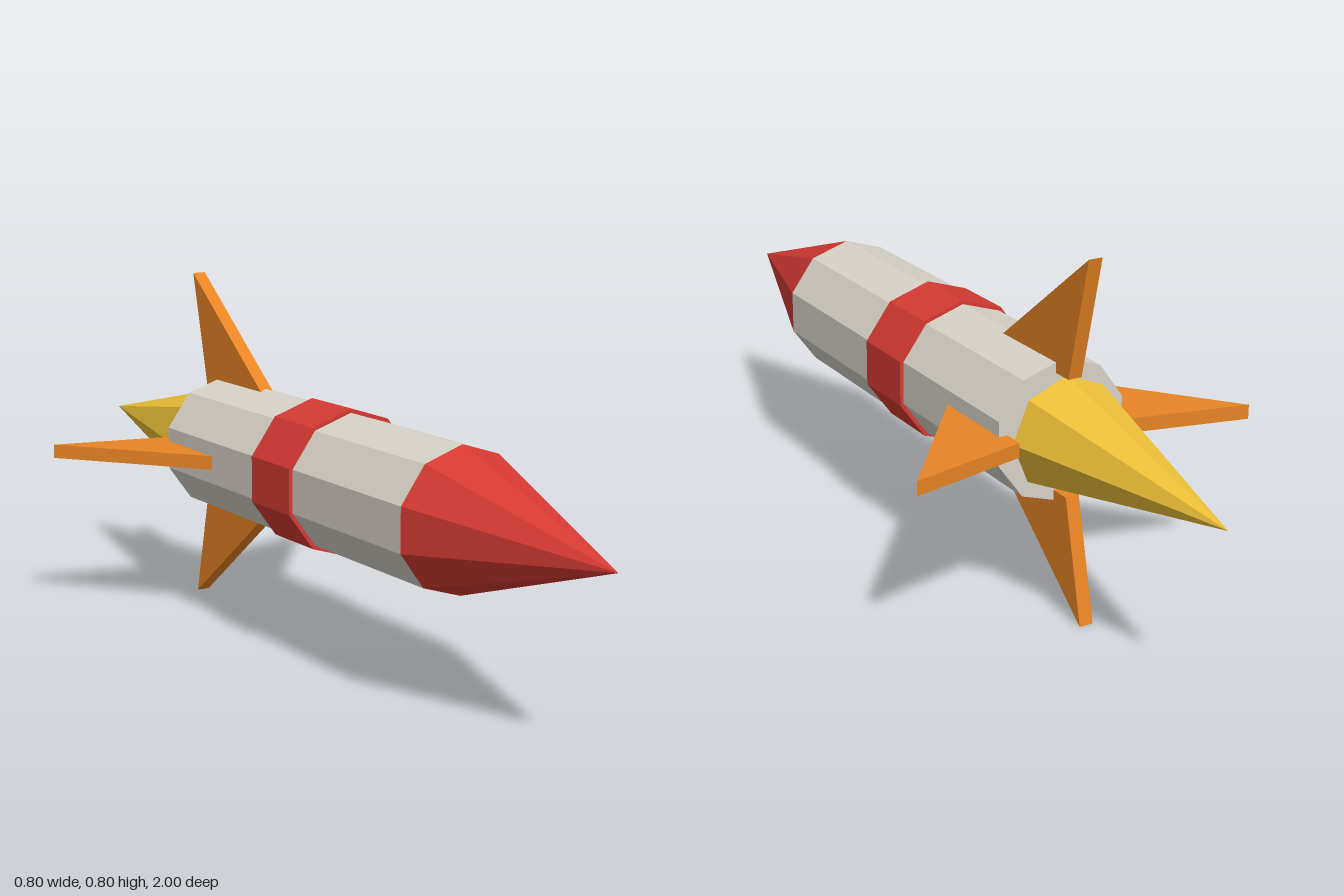
import * as THREE from 'three';

const material = (color) => new THREE.MeshStandardMaterial({ color, flatShading: true });

export function createModel() {
  const model = new THREE.Group();
  const rocket = new THREE.Group();
  rocket.name = 'rocket';
  rocket.position.y = 0.4;
  model.add(rocket);

  const red = material(0xd63a32);
  const white = material(0xd8d3c8);
  const orange = material(0xe88424);
  const yellow = material(0xeec138);

  const add = (name, geometry, mat) => {
    const mesh = new THREE.Mesh(geometry, mat);
    mesh.name = name;
    rocket.add(mesh);
    return mesh;
  };

  // Faceted section along z, from the back end to the front end
  const section = (name, zBack, zFront, rBack, rFront, sides, mat) => {
    const geometry = new THREE.CylinderGeometry(rFront, rBack, zFront - zBack, sides);
    geometry.rotateX(Math.PI / 2).translate(0, 0, (zBack + zFront) / 2);
    return add(name, geometry, mat);
  };

  section('body', -0.44, 0.525, 0.158, 0.158, 10, white);
  section('band', -0.037, 0.12, 0.167, 0.167, 10, red);
  section('noseCone', 0.525, 1, 0.158, 0, 10, red);
  section('flame', -1, -0.456, 0, 0.127, 8, yellow);

  // Swept fin outline: distance from the axis against z
  const outline = new THREE.Shape([
    new THREE.Vector2(0.13, -0.205),
    new THREE.Vector2(0.13, -0.487),
    new THREE.Vector2(0.4, -0.55),
  ]);
  const thickness = 0.032;
  const finGeometry = new THREE.ExtrudeGeometry(outline, { depth: thickness, bevelEnabled: false });
  finGeometry.translate(0, 0, -thickness / 2).rotateX(Math.PI / 2);

  // Four fins at quarter turns
  ['leftFin', 'topFin', 'rightFin', 'bottomFin'].forEach((name, i) => {
    add(name, finGeometry, orange).rotation.z = (i * Math.PI) / 2;
  });

  return model;
}
